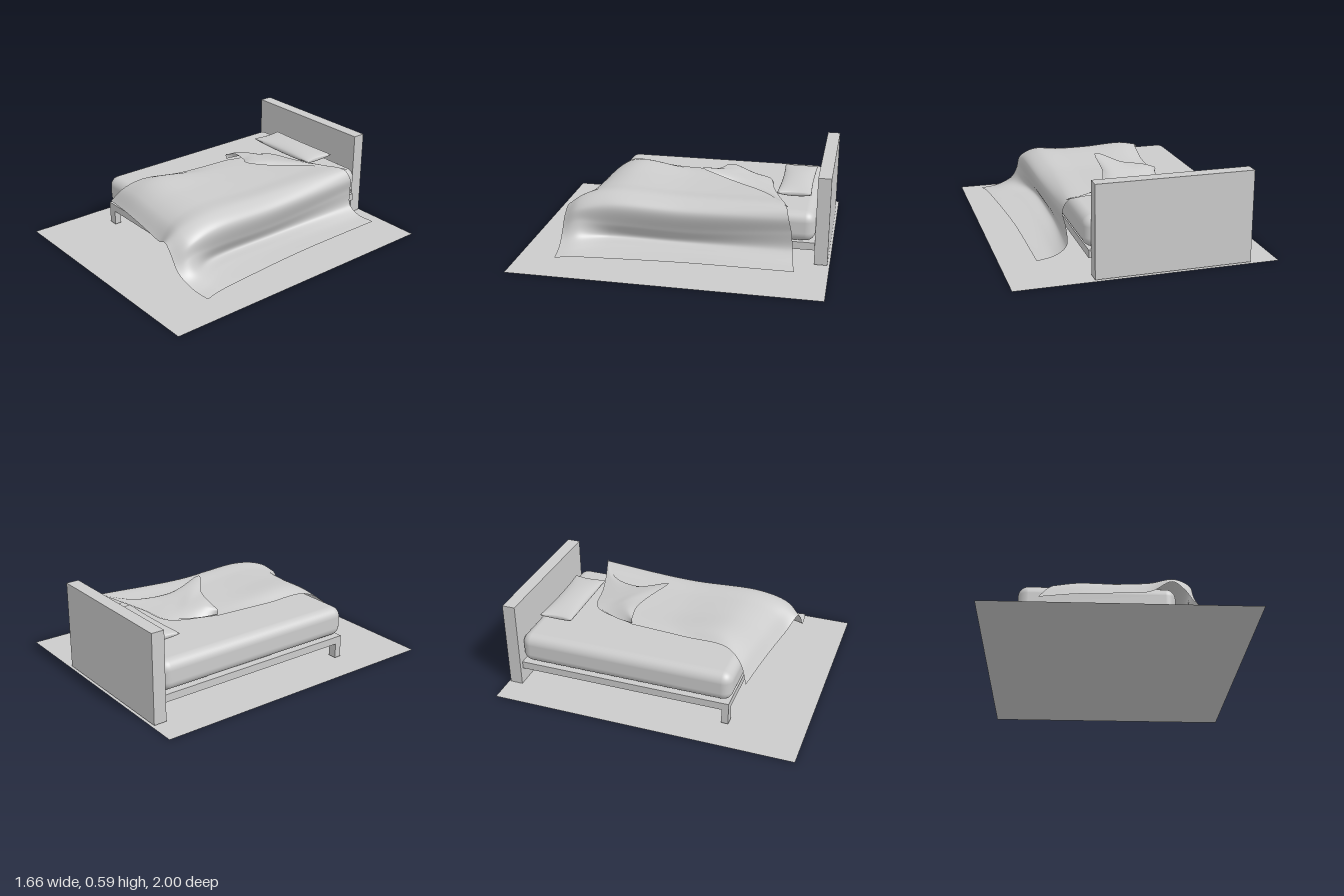
import * as THREE from 'three';
import { RoundedBoxGeometry } from 'three/addons/geometries/RoundedBoxGeometry.js';

const material = new THREE.MeshStandardMaterial({ color: 0xcccccc });
const clothMaterial = new THREE.MeshStandardMaterial({ color: 0xcccccc, side: THREE.DoubleSide });

function add(group, name, geometry, mat = material) {
  const mesh = new THREE.Mesh(geometry, mat);
  mesh.name = name;
  group.add(mesh);
  return mesh;
}

// Box given by its limits on each axis
function box(group, name, [x0, x1], [y0, y1], [z0, z1]) {
  const mesh = add(group, name, new THREE.BoxGeometry(x1 - x0, y1 - y0, z1 - z0));
  mesh.position.set((x0 + x1) / 2, (y0 + y1) / 2, (z0 + z1) / 2);
}

// Smooth grid surface from a function (u, v) -> Vector3
function surface(nu, nv, pointAt) {
  const positions = [], index = [];
  for (let j = 0; j <= nv; j++) {
    for (let i = 0; i <= nu; i++) {
      positions.push(...pointAt(i / nu, j / nv).toArray());
      if (i < nu && j < nv) {
        const a = j * (nu + 1) + i, b = a + nu + 1;
        index.push(a, a + 1, b, a + 1, b + 1, b);
      }
    }
  }
  const geometry = new THREE.BufferGeometry();
  geometry.setAttribute('position', new THREE.Float32BufferAttribute(positions, 3));
  geometry.setIndex(index);
  geometry.computeVertexNormals();
  return geometry;
}

// Cloth stretched smoothly over a row of section curves
function loft(sections, nu, nv) {
  const curves = sections.map((points) => new THREE.CatmullRomCurve3(points));
  const across = [];
  for (let i = 0; i <= nu; i++) {
    across.push(new THREE.CatmullRomCurve3(curves.map((c) => c.getPoint(i / nu))));
  }
  return surface(nu, nv, (u, v) => across[Math.round(u * nu)].getPoint(v));
}

const V = (x, y, z) => new THREE.Vector3(x, y, z);

// Blanket: (x, y) sections from the foot hem to the head edge
function blanketGeometry() {
  const footZ = [0.59, 0.62, 0.65, 0.68, 0.72, 0.73, 0.73, 0.72, 0.71, 0.70];
  const headZ = [-0.25, -0.55, -0.60, -0.65, -0.72, -0.74, -0.76, -0.77, -0.78, -0.80];
  const stations = [
    { t: 0, p: [[-0.49, 0.24], [-0.25, 0.25], [0, 0.245], [0.2, 0.245], [0.33, 0.295],
      [0.40, 0.24], [0.46, 0.16], [0.54, 0.11], [0.63, 0.085], [0.72, 0.08]] },
    { t: 0.07, p: [[-0.42, 0.34], [-0.25, 0.36], [0, 0.35], [0.2, 0.35], [0.35, 0.365],
      [0.45, 0.31], [0.47, 0.23], [0.51, 0.14], [0.6, 0.10], [0.70, 0.085]] },
    { t: 0.2, p: [[-0.36, 0.40], [-0.24, 0.43], [0, 0.415], [0.2, 0.41], [0.37, 0.41],
      [0.46, 0.35], [0.44, 0.22], [0.41, 0.12], [0.5, 0.10], [0.68, 0.085]] },
    { t: 0.55, p: [[-0.31, 0.385], [-0.2, 0.395], [0, 0.395], [0.2, 0.395], [0.37, 0.40],
      [0.455, 0.34], [0.42, 0.2], [0.39, 0.11], [0.48, 0.09], [0.645, 0.085]] },
    { t: 1, p: [[-0.28, 0.385], [-0.16, 0.39], [0.05, 0.40], [0.22, 0.41], [0.42, 0.42],
      [0.465, 0.36], [0.45, 0.26], [0.45, 0.15], [0.52, 0.10], [0.64, 0.085]] },
  ];
  const sections = stations.map(({ t, p }) =>
    p.map(([x, y], i) => V(x, y, THREE.MathUtils.lerp(footZ[i], headZ[i], t))));
  return loft(sections, 90, 70);
}

// Corner of the blanket turned back, from the fold to the lifted free edge
function flapGeometry() {
  const fold = [V(-0.28, 0.395, -0.25), V(-0.26, 0.395, -0.36), V(-0.21, 0.395, -0.47),
    V(-0.15, 0.395, -0.555), V(0.05, 0.405, -0.60), V(0.22, 0.415, -0.65), V(0.44, 0.425, -0.73)];
  const middle = [V(-0.285, 0.42, -0.25), V(-0.22, 0.45, -0.31), V(-0.13, 0.455, -0.36),
    V(-0.02, 0.46, -0.36), V(0.08, 0.44, -0.47), V(0.21, 0.425, -0.61), V(0.44, 0.428, -0.73)];
  const edge = [V(-0.28, 0.43, -0.25), V(-0.19, 0.46, -0.255), V(-0.06, 0.475, -0.22),
    V(0.09, 0.52, -0.13), V(0.10, 0.45, -0.33), V(0.20, 0.42, -0.56), V(0.44, 0.425, -0.73)];
  return loft([fold, middle, edge], 48, 20);
}

// Pillow: flat seam all round, pinched corners
function pillowGeometry() {
  return surface(40, 40, (u, v) => {
    const a = -Math.cos(u * Math.PI), angle = v * Math.PI * 2;
    const b = Math.cos(angle), s = Math.sin(angle);
    const puff = Math.pow(Math.max(0, 1 - a * a), 0.3) * Math.sign(s) * Math.pow(Math.abs(s), 0.9);
    return V(
      0.285 * a * (1 - 0.06 * (1 - b * b)),
      0.037 * puff + 0.008 * a * a * b * b,
      0.112 * b * (1 - 0.08 * (1 - a * a)));
  });
}

export function createModel() {
  const model = new THREE.Group();
  model.name = 'bed';

  // Floor
  const floor = add(model, 'floor', new THREE.PlaneGeometry(1.66, 2), clothMaterial);
  floor.rotation.x = -Math.PI / 2;

  // Frame
  box(model, 'headboard', [-0.65, 0.335], [0.005, 0.59], [-0.985, -0.90]);
  box(model, 'bedBase', [-0.62, 0.35], [0.11, 0.16], [-0.90, 0.52]);
  for (const x of [-0.62, 0.29]) box(model, 'frontLeg', [x, x + 0.06], [0.01, 0.11], [0.475, 0.52]);

  // Mattress
  const mattress = add(model, 'mattress', new RoundedBoxGeometry(0.995, 0.2, 1.43, 6, 0.065));
  mattress.position.set(-0.1225, 0.263, -0.185);

  // Bedding
  const pillow = add(model, 'pillow', pillowGeometry(), clothMaterial);
  pillow.position.set(-0.125, 0.402, -0.742);
  add(model, 'blanket', blanketGeometry(), clothMaterial);
  add(model, 'blanketFlap', flapGeometry(), clothMaterial);

  return model;
}
